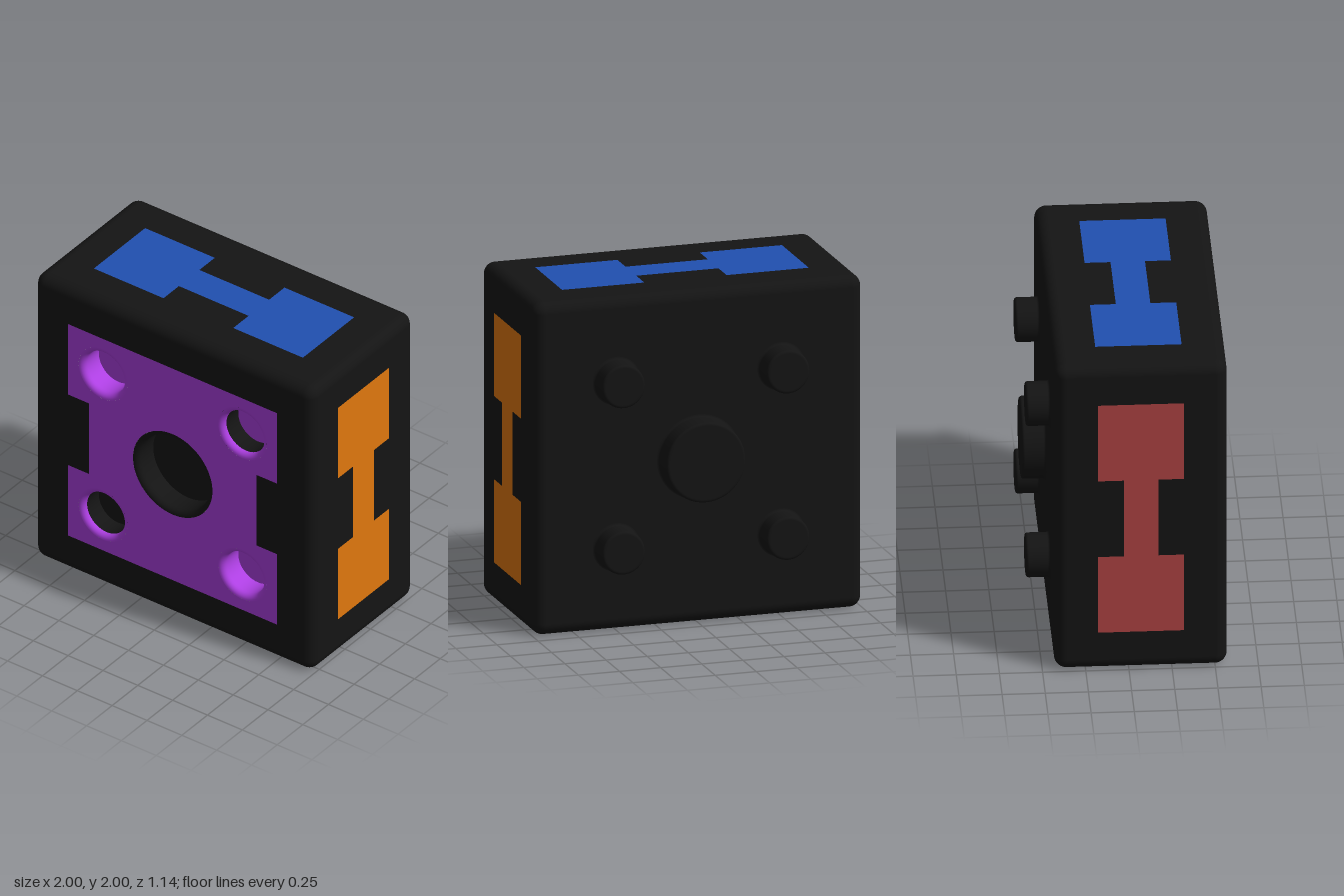
import * as THREE from 'three';
import { RoundedBoxGeometry } from 'three/addons/geometries/RoundedBoxGeometry.js';

const CZ = 0.07, FRONT = 0.57, BACK = -0.43, EDGE = 0.07, RIM = 0.035, DEPTH = 0.15;
const mat = (color) => new THREE.MeshStandardMaterial({ color });
const black = mat(0x141414), purple = mat(0xad3fe2), orange = mat(0xe0780e);
const blue = mat(0x2050b0), red = mat(0xb04444), yellow = mat(0xb4b409);

// Block-lettered outline: wide ends, narrower middle band (half sizes)
function waisted(half, waist) {
  return [[-half, -0.75], [half, -0.75], [half, -0.25], [waist, -0.25], [waist, 0.25], [half, 0.25],
    [half, 0.75], [-half, 0.75], [-half, 0.25], [-waist, 0.25], [-waist, -0.25], [-half, -0.25]]
    .map(([x, y]) => new THREE.Vector2(x, y));
}

function circlePath(x, y, r) {
  const p = new THREE.Path();
  p.absarc(x, y, r, 0, Math.PI * 2, true);
  return p;
}

// Quarter-round between two profile points' directions
function arc(cx, cy, r, a0, a1, n = 6) {
  return Array.from({ length: n + 1 }, (_, i) => {
    const a = a0 + (a1 - a0) * i / n;
    return new THREE.Vector2(cx + r * Math.cos(a), cy + r * Math.sin(a));
  });
}

export function createModel() {
  const model = new THREE.Group();
  model.name = 'block';
  const add = (name, geometry, material, x = 0, y = 0, z = 0, parent = model) => {
    const m = new THREE.Mesh(geometry, material);
    m.name = name;
    m.position.set(x, y, z);
    parent.add(m);
    return m;
  };

  // Rounded body, with its flat front left open for the recessed panel
  const body = new RoundedBoxGeometry(2, 2, 1, 5, EDGE);
  const p = body.attributes.position, nrm = body.attributes.normal, pos = [], nor = [];
  for (let i = 0; i < p.count; i += 3) {
    if ([0, 1, 2].every((k) => p.getZ(i + k) > 0.4999)) continue;
    for (let k = i; k < i + 3; k++) {
      pos.push(p.getX(k), p.getY(k), p.getZ(k));
      nor.push(nrm.getX(k), nrm.getY(k), nrm.getZ(k));
    }
  }
  const shell = new THREE.BufferGeometry();
  shell.setAttribute('position', new THREE.Float32BufferAttribute(pos, 3));
  shell.setAttribute('normal', new THREE.Float32BufferAttribute(nor, 3));
  add('body', shell, black, 0, 1, CZ);

  // Front frame and panel fill the open face
  const e = 1 - EDGE;
  const frame = new THREE.Shape([[-e, -e], [e, -e], [e, e], [-e, e]].map((c) => new THREE.Vector2(...c)));
  frame.holes.push(new THREE.Path(waisted(0.75, 0.6).reverse()));
  add('frontFrame', new THREE.ShapeGeometry(frame), black, 0, 1, FRONT);

  // Sockets: position, radius, rim, wall and floor materials
  const sockets = [
    ['centreSocket', 0, 0, 0.25, black, black, black],
    ['upperRightSocket', -0.5, 0.5, 0.14, purple, purple, purple],
    ['upperLeftSocket', 0.5, 0.5, 0.14, purple, black, purple],
    ['lowerRightSocket', -0.5, -0.5, 0.14, purple, black, black],
    ['lowerLeftSocket', 0.5, -0.5, 0.14, purple, purple, purple],
  ];
  const panel = new THREE.Shape(waisted(0.75, 0.6));
  for (const [name, x, y, r, rimMat, wallMat, floorMat] of sockets) {
    panel.holes.push(circlePath(x, y, r + RIM));
    const g = new THREE.Group();
    g.name = name;
    g.position.set(x, y + 1, FRONT);
    model.add(g);
    const rim = arc(r + RIM, -RIM, RIM, Math.PI / 2, Math.PI);
    const wall = [new THREE.Vector2(r, -RIM), new THREE.Vector2(r, -DEPTH)];
    add('rim', new THREE.LatheGeometry(rim, 48).rotateX(Math.PI / 2), rimMat, 0, 0, 0, g);
    add('wall', new THREE.LatheGeometry(wall, 48).rotateX(Math.PI / 2), wallMat, 0, 0, 0, g);
    add('floor', new THREE.CircleGeometry(r, 48), floorMat, 0, 0, -DEPTH, g);
  }
  add('frontPanel', new THREE.ShapeGeometry(panel, 48), purple, 0, 1, FRONT);

  // Studs on the back, with a filleted foot and a rounded top edge
  const f = 0.015, h = 0.14;
  for (const [name, x, y, r] of [['centreStud', 0, 0, 0.24],
    ...[[-1, 1], [1, 1], [-1, -1], [1, -1]].map(([a, b]) => ['cornerStud', a / 2, b / 2, 0.13])]) {
    const profile = [
      ...arc(r + f, f, f, Math.PI * 1.5, Math.PI, 4),
      ...arc(r - f, h - f, f, 0, Math.PI / 2, 4),
      new THREE.Vector2(r - f - 0.004, h), new THREE.Vector2(0, h),
    ];
    add(name, new THREE.LatheGeometry(profile, 48).rotateX(-Math.PI / 2), black, x, y + 1, BACK);
  }

  // Waisted colour inlays on the four sides, just proud of the body
  const inlay = () => new THREE.ShapeGeometry(new THREE.Shape(waisted(0.25, 0.1)));
  const q = Math.PI / 2, lift = 0.001;
  add('leftInlay', inlay().rotateY(q), orange, 1 + lift, 1, CZ);
  add('rightInlay', inlay().rotateY(-q), red, -1 - lift, 1, CZ);
  add('topInlay', inlay().rotateZ(q).rotateX(-q), blue, 0, 2 + lift, CZ);
  add('bottomInlay', inlay().rotateZ(q).rotateX(q), yellow, 0, -lift, CZ);
  return model;
}
